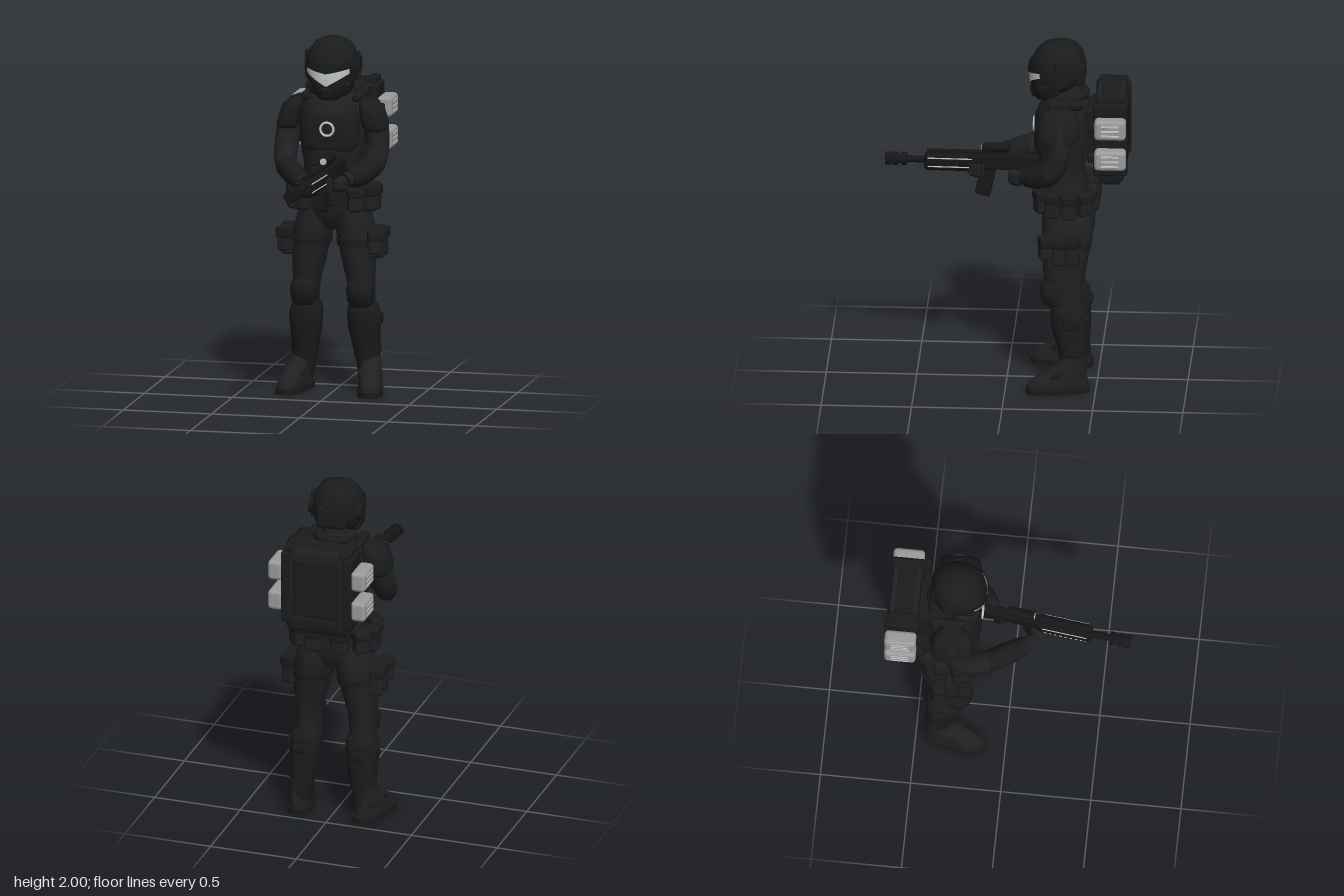
import * as THREE from 'three';
import { RoundedBoxGeometry } from 'three/addons/geometries/RoundedBoxGeometry.js';

const mat = (name, color, side = THREE.FrontSide) => {
  const m = new THREE.MeshStandardMaterial({ color, side });
  m.name = name;
  return m;
};

// Closed skin over rings; each ring is { c, U, V, a, b } and n squares off the ellipse
function skin(rings, n = 2, seg = 28) {
  const first = rings[0], last = rings[rings.length - 1];
  const rows = [{ ...first, a: 0, b: 0 }, first, ...rings, last, { ...last, a: 0, b: 0 }];
  const pos = [], idx = [];
  const pw = v => Math.sign(v) * Math.abs(v) ** (2 / n);
  rows.forEach(({ c, U, V, a, b }, j) => {
    for (let i = 0; i < seg; i++) {
      const t = (i / seg) * Math.PI * 2;
      const p = c.clone().addScaledVector(U, a * pw(Math.cos(t))).addScaledVector(V, b * pw(Math.sin(t)));
      pos.push(p.x, p.y, p.z);
      if (j === rows.length - 1) continue;
      const k = (i + 1) % seg, r = j * seg, s = r + seg;
      idx.push(r + i, r + k, s + k, r + i, s + k, s + i);
    }
  });
  const g = new THREE.BufferGeometry();
  g.setAttribute('position', new THREE.Float32BufferAttribute(pos, 3));
  g.setIndex(idx);
  g.computeVertexNormals();
  return g;
}

// Upright loft from sections [y, x, z, halfWidth, halfDepth], bottom to top
const loft = (secs, n = 2.3, seg = 28) => skin(secs.map(([y, x, z, a, b]) => ({
  c: new THREE.Vector3(x, y, z), U: new THREE.Vector3(1, 0, 0), V: new THREE.Vector3(0, 0, -1), a, b,
})), n, seg);

// Round limb along a smooth path of points [x, y, z, radius]
function limb(pts) {
  const curve = new THREE.CatmullRomCurve3(pts.map(p => new THREE.Vector3(...p)));
  const rings = [], U = new THREE.Vector3(0, 0, 1), N = 20;
  for (let i = 0; i <= N; i++) {
    const f = (i / N) * (pts.length - 1), k = Math.min(Math.floor(f), pts.length - 2);
    const r = THREE.MathUtils.lerp(pts[k][3], pts[k + 1][3], f - k);
    const T = curve.getTangent(i / N);
    U.addScaledVector(T, -U.dot(T)).normalize();
    rings.push({ c: curve.getPoint(i / N), U: U.clone(), V: T.clone().cross(U), a: r, b: r });
  }
  return skin(rings, 2, 18);
}

const headSecs = [
  [1.66, 0, -0.205, 0.05, 0.045], [1.69, 0, -0.22, 0.085, 0.08], [1.74, 0, -0.255, 0.115, 0.122],
  [1.77, 0, -0.277, 0.13, 0.146], [1.83, 0, -0.28, 0.138, 0.15], [1.88, 0, -0.283, 0.138, 0.148],
  [1.93, 0, -0.29, 0.125, 0.132], [1.97, 0, -0.295, 0.095, 0.1], [1.99, 0, -0.3, 0.055, 0.06], [2, 0, -0.3, 0.02, 0.02],
];
// Front depth of the helmet at x, y
function faceZ(x, y) {
  let k = 0;
  while (k < headSecs.length - 2 && headSecs[k + 1][0] < y) k++;
  const A = headSecs[k], B = headSecs[k + 1], f = (y - A[0]) / (B[0] - A[0]);
  const [cz, a, b] = [2, 3, 4].map(i => THREE.MathUtils.lerp(A[i], B[i], f));
  return cz + b * Math.max(0, 1 - Math.abs(x / a) ** 2.3) ** (1 / 2.3);
}
// Sheet lying on the helmet front between two edge curves
function facePatch(half, low, high, lift) {
  const g = new THREE.PlaneGeometry(2, 1, 24, 8), p = g.attributes.position;
  for (let i = 0; i < p.count; i++) {
    const u = p.getX(i), v = p.getY(i) + 0.5, x = u * half;
    const y = THREE.MathUtils.lerp(low(Math.abs(u)), high(Math.abs(u)), v);
    p.setXYZ(i, x * 1.02, y, faceZ(x, y) + lift);
  }
  g.computeVertexNormals();
  return g;
}

export function createModel() {
  const suit = mat('suitBlack', 0x1f2021), armor = mat('armorBlack', 0x1a1b1b), gunMetal = mat('gunBlack', 0x161616);
  const silver = mat('silver', 0xc4c8c8, THREE.DoubleSide), grey = mat('canisterGrey', 0x9a9c9c);
  const brow = mat('browBlack', 0x181919, THREE.DoubleSide);
  const model = new THREE.Group();
  model.name = 'soldier';
  const add = (name, geo, m, parent = model, x = 0, y = 0, z = 0, rx = 0, ry = 0, rz = 0) => {
    const mesh = new THREE.Mesh(geo, m);
    mesh.name = name;
    mesh.position.set(x, y, z);
    mesh.rotation.set(rx, ry, rz);
    parent.add(mesh);
    return mesh;
  };
  const box = (w, h, d, r = 0.012) => new RoundedBoxGeometry(w, h, d, 2, Math.min(r, w / 2.1, h / 2.1, d / 2.1));
  const cyl = (a, b, h, n = 20) => new THREE.CylinderGeometry(a, b, h, n);
  const both = fn => [1, -1].forEach(fn);

  // Helmet
  add('helmet', loft(headSecs, 2.3, 36), armor);
  add('visor', facePatch(0.118, u => 1.742 + 0.07 * u, u => 1.818 + 0.027 * u, 0.006), silver);
  add('browRidge', facePatch(0.125, u => 1.815 + 0.027 * u, u => 1.86 + 0.025 * u, 0.014), brow);
  add('chinGuard', box(0.075, 0.07, 0.05, 0.02), armor, model, 0, 1.705, -0.155, 0.2);
  add('helmetRearPlate', box(0.17, 0.13, 0.06, 0.025), armor, model, 0, 1.82, -0.405);
  both(s => {
    add('earPod', cyl(0.05, 0.058, 0.03), armor, model, s * 0.138, 1.84, -0.31, 0, 0, -s * Math.PI / 2);
    add('earBar', box(0.02, 0.16, 0.035), armor, model, s * 0.145, 1.84, -0.29);
    add('cheekGuard', box(0.03, 0.08, 0.11), armor, model, s * 0.105, 1.735, -0.235, 0.3, -s * 0.2, -s * 0.25);
  });
  add('neck', loft([[1.6, 0, -0.34, 0.09, 0.09], [1.76, 0, -0.32, 0.075, 0.075]]), suit);

  // Torso, chest armour and harness
  add('torso', loft([
    [0.92, 0, -0.34, 0.07, 0.09], [1, 0, -0.335, 0.175, 0.14], [1.08, 0, -0.325, 0.175, 0.14], [1.2, 0, -0.305, 0.152, 0.125],
    [1.3, 0, -0.3, 0.162, 0.135], [1.42, 0, -0.305, 0.183, 0.15], [1.52, 0, -0.31, 0.19, 0.155],
    [1.6, 0, -0.315, 0.18, 0.145], [1.66, 0, -0.33, 0.145, 0.115], [1.71, 0, -0.335, 0.09, 0.085],
  ]), suit);
  add('chestPlate', loft([[1.37, 0, -0.26, 0.14, 0.095], [1.4, 0, -0.26, 0.165, 0.11], [1.55, 0, -0.265, 0.175, 0.112],
    [1.62, 0, -0.29, 0.155, 0.1], [1.65, 0, -0.3, 0.13, 0.08]], 3), armor);
  add('collar', new THREE.TorusGeometry(0.1, 0.025, 8, 28), armor, model, 0, 1.68, -0.335, Math.PI / 2 + 0.15);
  add('chestRing', new THREE.TorusGeometry(0.037, 0.007, 8, 24), silver, model, 0, 1.5, -0.15);
  for (let i = 0; i < 3; i++) add('abdomenPlate', box(0.2, 0.05, 0.06), armor, model, 0, 1.2 + i * 0.055, -0.2);
  both(s => {
    add('shoulderStrap', box(0.05, 0.05, 0.2, 0.02), armor, model, s * 0.145, 1.665, -0.33, 0, 0, -s * 0.3);
    add('shoulderPad', loft([[1.485, s * 0.248, -0.295, 0.058, 0.09], [1.51, s * 0.242, -0.295, 0.067, 0.115],
      [1.6, s * 0.222, -0.295, 0.06, 0.115], [1.645, s * 0.2, -0.3, 0.045, 0.085], [1.66, s * 0.19, -0.3, 0.025, 0.05]], 3), armor);
  });

  // Arms and hands, each holding its own place on the rifle
  add('leftArm', limb([[0.215, 1.6, -0.3, 0.07], [0.245, 1.48, -0.305, 0.07], [0.256, 1.38, -0.29, 0.062],
    [0.24, 1.295, -0.245, 0.064], [0.185, 1.25, -0.17, 0.056], [0.12, 1.23, -0.09, 0.04]]), suit);
  add('rightArm', limb([[-0.215, 1.6, -0.3, 0.07], [-0.245, 1.46, -0.28, 0.07], [-0.25, 1.34, -0.215, 0.063],
    [-0.21, 1.285, -0.1, 0.06], [-0.12, 1.26, 0.05, 0.052], [-0.04, 1.24, 0.14, 0.038]]), suit);
  add('leftForearmGuard', limb([[0.25, 1.305, -0.25, 0.06], [0.19, 1.255, -0.175, 0.064], [0.14, 1.235, -0.115, 0.053]]), armor);
  add('rightForearmGuard', limb([[-0.22, 1.29, -0.11, 0.06], [-0.15, 1.27, 0, 0.064], [-0.085, 1.25, 0.09, 0.053]]), armor);
  add('leftHand', box(0.075, 0.09, 0.09, 0.03), suit, model, 0.092, 1.215, -0.055, 0, -0.6);
  add('rightHand', box(0.1, 0.07, 0.09, 0.03), suit, model, 0.015, 1.225, 0.165, 0, 0.6);
  for (let i = 0; i < 4; i++) add('rightFinger', box(0.02, 0.07, 0.02, 0.009), suit, model, 0.085, 1.25, 0.13 + i * 0.022);

  // Belt with pouches [x, y, z, w, h, d, turn], mirrored
  add('belt', loft([[1.06, 0, -0.325, 0.185, 0.15], [1.13, 0, -0.318, 0.178, 0.146]]), armor);
  add('buckle', box(0.08, 0.06, 0.02), armor, model, 0, 1.095, -0.175);
  const pouches = [[0.15, 1.1, -0.195, 0.085, 0.13, 0.07, 0.45], [0.215, 1.1, -0.265, 0.08, 0.14, 0.07, 1.2],
    [0.222, 1.095, -0.355, 0.08, 0.14, 0.07, 1.57], [0.185, 1.1, -0.435, 0.09, 0.13, 0.07, 2.4], [0.075, 1.1, -0.48, 0.1, 0.13, 0.07, 3.14]];
  both(s => pouches.forEach(([x, y, z, w, h, d, t]) => {
    const p = new THREE.Group();
    p.name = 'beltPouch';
    p.position.set(s * x, y, z);
    p.rotation.y = s * t;
    model.add(p);
    add('pouchBody', box(w, h, d, 0.018), suit, p);
    add('pouchFlap', box(w + 0.008, h * 0.4, d + 0.01, 0.014), armor, p, 0, h * 0.3);
  }));

  // Legs, knee pads, boots and thigh pouches
  both(s => {
    const leg = new THREE.Group();
    leg.name = s > 0 ? 'leftLeg' : 'rightLeg';
    model.add(leg);
    const sec = a => a.map(([y, x, ...r]) => [y, s * x, ...r]);
    add('thigh', loft(sec([[0.48, 0.158, -0.335, 0.07, 0.09], [0.56, 0.157, -0.325, 0.073, 0.098], [0.64, 0.152, -0.322, 0.077, 0.108],
      [0.75, 0.14, -0.328, 0.094, 0.125], [0.9, 0.122, -0.34, 0.108, 0.14], [1, 0.105, -0.34, 0.1, 0.142], [1.06, 0.1, -0.33, 0.08, 0.12]]), 2.1), suit);
    add('kneePad', loft(sec([[0.49, 0.16, -0.29, 0.05, 0.055], [0.52, 0.16, -0.28, 0.072, 0.08], [0.58, 0.158, -0.275, 0.076, 0.088],
      [0.63, 0.156, -0.275, 0.066, 0.075], [0.66, 0.155, -0.28, 0.04, 0.05]])), armor);
    add('shin', loft(sec([[0.08, 0.19, -0.38, 0.065, 0.07], [0.15, 0.182, -0.378, 0.063, 0.069], [0.25, 0.172, -0.37, 0.075, 0.083],
      [0.36, 0.165, -0.355, 0.088, 0.1], [0.44, 0.162, -0.35, 0.09, 0.104], [0.48, 0.16, -0.35, 0.084, 0.1], [0.5, 0.16, -0.345, 0.07, 0.085]])), armor);
    add('shinBuckle', box(0.03, 0.07, 0.09), armor, leg, s * 0.245, 0.41, -0.37);
    add('calfBuckle', box(0.08, 0.05, 0.03), armor, leg, s * 0.168, 0.405, -0.45);
    add('ankleBuckle', box(0.03, 0.06, 0.07), armor, leg, s * 0.235, 0.24, -0.38);
    const boot = new THREE.Group();
    boot.name = 'boot';
    boot.position.set(s * 0.195, 0, -0.38);
    boot.rotation.y = s * 0.2;
    leg.add(boot);
    add('sole', loft([[0, 0, 0.09, 0.07, 0.175], [0.035, 0, 0.09, 0.072, 0.178]], 3), armor, boot);
    add('bootUpper', loft([[0.03, 0, 0.09, 0.067, 0.17], [0.06, 0, 0.088, 0.067, 0.167], [0.09, 0, 0.07, 0.065, 0.142],
      [0.125, 0, 0.04, 0.062, 0.108], [0.16, 0, 0.015, 0.058, 0.078], [0.2, 0, 0, 0.055, 0.068]], 2.5), suit, boot);
    add('bootStrap', box(0.135, 0.04, 0.07, 0.018), armor, boot, 0, 0.115, 0.105, 0.5);
    add('thighStrap', loft(sec([[0.83, 0.13, -0.334, 0.108, 0.138], [0.87, 0.126, -0.336, 0.111, 0.142]])), armor);
    [-0.225, -0.3, -0.375].forEach((z, i) => {
      add('thighPouch', box(0.075, 0.16 - (i === 0 ? 0.03 : 0), 0.07, 0.016), suit, leg, s * 0.252, 0.845 + (i === 0 ? 0.015 : 0), z, 0, s * (0.3 - i * 0.3));
      add('thighFlap', box(0.085, 0.06, 0.075), armor, leg, s * 0.256, 0.9, z, 0, s * (0.3 - i * 0.3));
    });
  });

  // Backpack with side canisters
  add('backpack', loft([[1.21, 0, -0.585, 0.16, 0.045], [1.24, 0, -0.583, 0.185, 0.07], [1.31, 0, -0.58, 0.195, 0.085],
    [1.66, 0, -0.578, 0.195, 0.085], [1.7, 0, -0.578, 0.19, 0.082], [1.715, 0, -0.578, 0.18, 0.075]], 9, 48), suit);
  add('packMount', box(0.24, 0.3, 0.1), armor, model, 0, 1.48, -0.47);
  add('packBackPanel', box(0.27, 0.34, 0.02), armor, model, 0, 1.49, -0.662);
  add('packTopPanel', box(0.27, 0.02, 0.1), armor, model, 0, 1.713, -0.575);
  both(s => {
    add('packRib', box(0.05, 0.42, 0.19), armor, model, s * 0.18, 1.485, -0.58);
    add('packCorner', box(0.06, 0.05, 0.16), armor, model, s * 0.16, 1.705, -0.58);
    [1.57, 1.39].forEach(y => {
      add('canister', box(0.085, 0.115, 0.175, 0.022), grey, model, s * 0.242, y, -0.583);
      for (let i = 0; i < 3; i++) add('canisterStrip', box(0.006, 0.012, 0.1, 0.002), silver, model, s * 0.284, y - 0.028 + i * 0.028, -0.583);
      add('canisterClip', box(0.05, 0.05, 0.06), armor, model, s * 0.222, y, -0.488);
    });
  });

  // Rifle, built along its own z axis
  const rifle = new THREE.Group();
  rifle.name = 'rifle';
  rifle.position.set(0.062, 1.295, 0);
  rifle.rotation.set(0.035, -0.114, 0, 'YXZ');
  model.add(rifle);
  const rod = (name, a, b, z0, z1, y = 0, m = gunMetal) => add(name, cyl(a, b, z1 - z0), m, rifle, 0, y, (z0 + z1) / 2, Math.PI / 2);
  add('receiver', box(0.055, 0.085, 0.34), gunMetal, rifle, 0, 0, 0.01);
  add('stock', box(0.045, 0.1, 0.12), gunMetal, rifle, 0, -0.01, -0.17);
  add('handguard', box(0.085, 0.1, 0.31, 0.025), gunMetal, rifle, 0, -0.005, 0.305);
  add('topRail', box(0.03, 0.02, 0.45, 0.004), gunMetal, rifle, 0, 0.05, 0.22);
  rod('barrel', 0.019, 0.019, 0.44, 0.6);
  rod('muzzle', 0.027, 0.027, 0.56, 0.678);
  [0.56, 0.61, 0.65].forEach(z => rod('muzzleRing', 0.037, 0.037, z, z + 0.025));
  rod('scope', 0.026, 0.026, -0.02, 0.13, 0.083);
  rod('scopeLens', 0.019, 0.019, 0.13, 0.134, 0.083, silver);
  add('scopeMount', box(0.03, 0.04, 0.08), gunMetal, rifle, 0, 0.05, 0.05);
  add('magazine', box(0.036, 0.18, 0.085, 0.008), gunMetal, rifle, 0, -0.11, 0.12, -0.25);
  add('pistolGrip', box(0.036, 0.1, 0.045), gunMetal, rifle, 0, -0.08, -0.06, 0.3);
  both(s => {
    [0.03, -0.035].forEach(y => add('handguardStrip', box(0.005, 0.007, 0.25, 0.002), silver, rifle, s * 0.0425, y * 0.75, 0.31));
    for (let i = 0; i < 9; i++) add('handguardRib', box(0.014, 0.025, 0.014, 0.003), gunMetal, rifle, s * 0.044, -0.002, 0.19 + i * 0.029);
  });
  return model;
}
